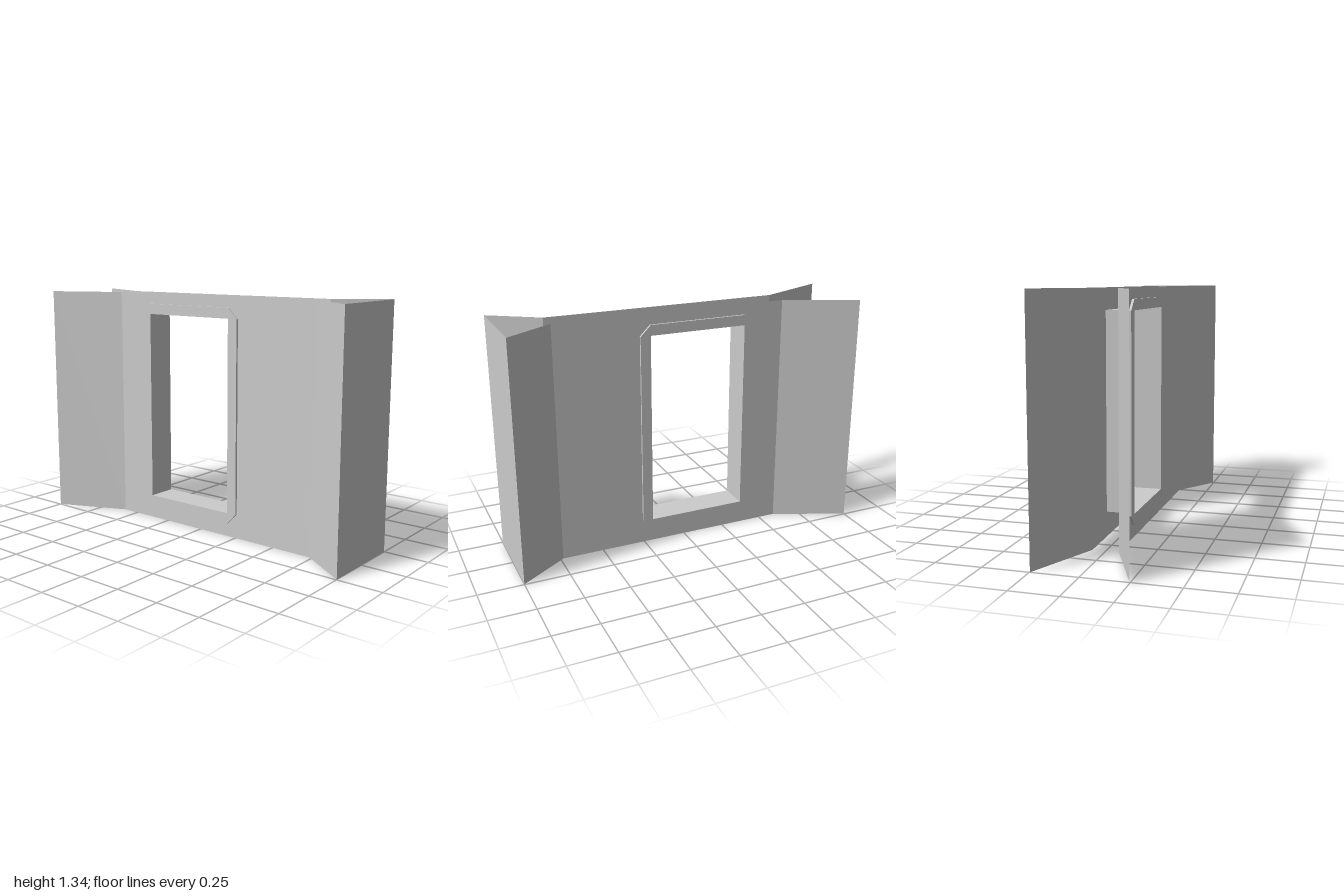
import * as THREE from 'three';

const H = 1.335;          // panel height
const WALL = 0.0715;      // half distance between the walls
const FLARE = 0.247;      // half width at both ends
const FRAME = 0.0125;     // frame thickness
const Z = { front: 1, frontBend: 0.735, backBend: -0.6, back: -1 };
const WIN = { z0: -0.36, z1: 0.2, y0: 0.138, y1: 1.218 };
const RIM = 0.058;        // frame width around the window

const material = new THREE.MeshStandardMaterial({
  color: 0xcccccc, flatShading: true, side: THREE.DoubleSide,
});

function addMesh(parent, name, geometry) {
  const mesh = new THREE.Mesh(geometry, material);
  mesh.name = name;
  parent.add(mesh);
  return mesh;
}

// Upright sheet of full height between two plan points [x, z]
function sheet([xa, za], [xb, zb]) {
  const geometry = new THREE.PlaneGeometry(Math.hypot(xb - xa, zb - za), H);
  geometry.rotateY(-Math.atan2(zb - za, xb - xa));
  return geometry.translate((xa + xb) / 2, H / 2, (za + zb) / 2);
}

// Closed outline from [z, y] points; the shape is later turned so its x runs along -z
const outline = (points, Type = THREE.Shape) =>
  new Type(points.map(([z, y]) => new THREE.Vector2(-z, y)));

const rectangle = (z0, z1, y0, y1) => [[z0, y0], [z1, y0], [z1, y1], [z0, y1]];

const windowHole = () =>
  outline(rectangle(WIN.z0, WIN.z1, WIN.y0, WIN.y1), THREE.Path);

export function createModel() {
  const model = new THREE.Group();
  model.name = 'windowPanel';

  // Closed front end
  addMesh(model, 'frontPanel', sheet([-FLARE, Z.front], [FLARE, Z.front]));

  // Wall with an opening, shared by both sides
  const wallShape = outline(rectangle(Z.backBend, Z.frontBend, 0, H));
  wallShape.holes.push(windowHole());
  const wallGeometry = new THREE.ShapeGeometry(wallShape).rotateY(Math.PI / 2);

  // Window frame with clipped corners
  const { z0, z1, y0, y1 } = WIN;
  const frameShape = outline([
    [z0, y0 - RIM - 0.004], [z1, y0 - RIM - 0.004], [z1 + RIM, y0], [z1 + RIM, y1],
    [z1, y1 + RIM], [z0, y1 + RIM], [z0 - RIM, y1], [z0 - RIM, y0],
  ]);
  frameShape.holes.push(windowHole());
  const frameGeometry = new THREE.ExtrudeGeometry(frameShape, {
    depth: FRAME, bevelEnabled: false,
  }).rotateY(Math.PI / 2);

  for (const [side, s] of [['left', 1], ['right', -1]]) {
    const group = new THREE.Group();
    group.name = `${side}Side`;
    model.add(group);
    addMesh(group, 'wall', wallGeometry).position.x = s * WALL;
    addMesh(group, 'frontFlare', sheet([s * FLARE, Z.front], [s * WALL, Z.frontBend]));
    addMesh(group, 'backFlare', sheet([s * WALL, Z.backBend], [s * FLARE, Z.back]));
    addMesh(group, 'windowFrame', frameGeometry).position.x = s > 0 ? WALL : -WALL - FRAME;
  }

  // Lining that joins the two openings
  const lining = new THREE.Group();
  lining.name = 'windowLining';
  model.add(lining);
  const zMid = (z0 + z1) / 2;
  const yMid = (y0 + y1) / 2;
  for (const [name, y] of [['sill', y0], ['lintel', y1]]) {
    const flat = new THREE.PlaneGeometry(2 * WALL, z1 - z0).rotateX(-Math.PI / 2);
    addMesh(lining, name, flat).position.set(0, y, zMid);
  }
  for (const [name, z] of [['frontJamb', z1], ['backJamb', z0]]) {
    addMesh(lining, name, new THREE.PlaneGeometry(2 * WALL, y1 - y0)).position.set(0, yMid, z);
  }

  return model;
}
